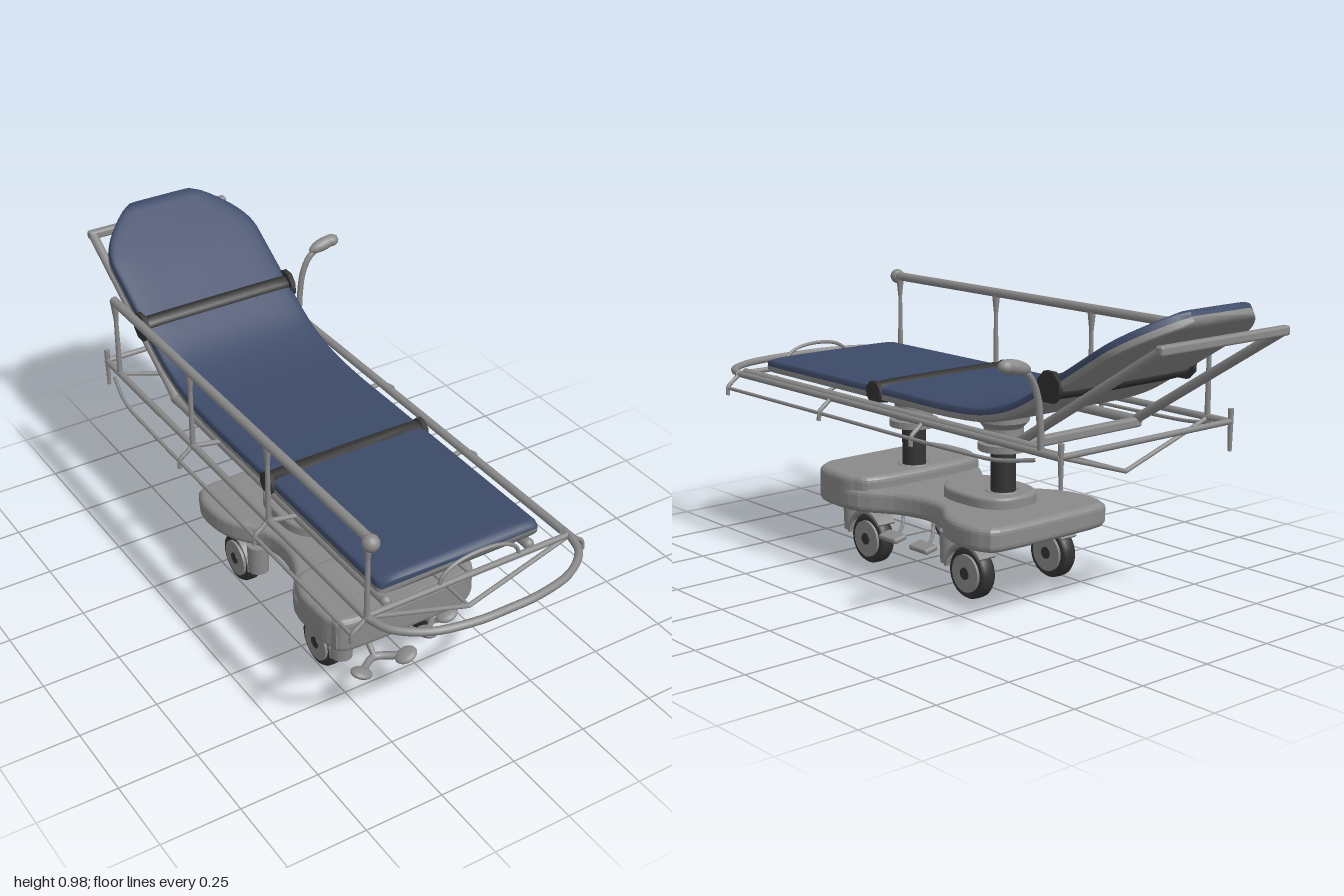
import * as THREE from 'three';
import { RoundedBoxGeometry } from 'three/addons/geometries/RoundedBoxGeometry.js';

const mat = (name, color) => {
  const m = new THREE.MeshStandardMaterial({ color });
  m.name = name;
  return m;
};
const V = (x, y, z) => new THREE.Vector3(x, y, z);
const CX = -0.05; // centre line of the stretcher

export function createModel() {
  const metal = mat('grey metal', 0x8a8a8a);
  const blue = mat('blue vinyl', 0x3d4a68);
  const black = mat('black rubber', 0x333333);
  const root = new THREE.Group();

  const add = (name, geo, m, x = 0, y = 0, z = 0, parent = root) => {
    const mesh = new THREE.Mesh(geo, m);
    mesh.name = name;
    mesh.position.set(x, y, z);
    parent.add(mesh);
    return mesh;
  };
  // straight rod between two points
  const rod = (name, a, b, r, r2 = r) => {
    const mesh = add(name, new THREE.CylinderGeometry(r2, r, a.distanceTo(b), 10), metal);
    mesh.position.copy(a).lerp(b, 0.5);
    mesh.quaternion.setFromUnitVectors(V(0, 1, 0), b.clone().sub(a).normalize());
    return mesh;
  };
  // bent tube through points
  const bend = (name, pts, r) =>
    add(name, new THREE.TubeGeometry(new THREE.CatmullRomCurve3(pts), 32, r, 8), metal);
  const blob = (name, x, y, z, sx, sy, sz) => {
    const mesh = add(name, new THREE.SphereGeometry(1, 16, 10), metal, x, y, z);
    mesh.scale.set(sx, sy, sz);
    return mesh;
  };

  // --- mattress and straps share one bent path ---
  const path = new THREE.CatmullRomCurve3([V(CX, 0.597, 0.77), V(CX, 0.597, 0.4), V(CX, 0.597, 0.05),
    V(CX, 0.598, -0.18), V(CX, 0.611, -0.32), V(CX, 0.65, -0.45), V(CX, 0.735, -0.6), V(CX, 0.845, -0.78), V(CX, 0.96, -0.97)]);
  const uAtZ = z => {
    let u = 0;
    while (u < 1 && path.getPointAt(u).z > z) u += 0.002;
    return Math.min(u, 1);
  };
  // the head end tapers to a blunt, angled tip
  const halfWidth = z => {
    const t = Math.min(1, Math.max(0, (-0.79 - z) / 0.18));
    return 0.267 - 0.147 * t ** 1.9;
  };
  // rounded slab along the path: group 0 is its upper half, group 1 its lower half
  const loft = (u0, u1, steps, half, grow) => {
    const N = 32, pos = [], halves = [[], []];
    const pw = v => Math.sign(v) * Math.abs(v) ** 0.3;
    for (let i = 0; i <= steps; i++) {
      const u = u0 + (u1 - u0) * i / steps;
      const p = path.getPointAt(u), t = path.getTangentAt(u);
      const end = i === 0 || i === steps;
      const w = halfWidth(p.z) + grow - (end ? 0.005 : 0), h = half * (end ? 0.75 : 1);
      for (let j = 0; j < N; j++) {
        const a = j / N * Math.PI * 2, n = h * pw(Math.sin(a)) + 0.001;
        pos.push(p.x + w * pw(Math.cos(a)), p.y - t.z * n, p.z + t.y * n);
      }
    }
    const last = steps * N;
    for (let j = 0; j < N; j++) {
      const idx = halves[j < N / 2 ? 0 : 1], k = (j + 1) % N;
      for (let i = 0; i < last; i += N) idx.push(i + j, i + j + N, i + k, i + k, i + j + N, i + k + N);
      if (j > 0 && k > 0) idx.push(0, j, k, last, last + k, last + j);
    }
    const g = new THREE.BufferGeometry();
    g.setAttribute('position', new THREE.Float32BufferAttribute(pos, 3));
    g.setIndex([...halves[0], ...halves[1]]);
    g.addGroup(0, halves[0].length, 0);
    g.addGroup(halves[0].length, halves[1].length, 1);
    g.computeVertexNormals();
    return g;
  };
  add('mattress', loft(0, 1, 90, 0.026, 0), [blue, metal]);
  for (const [z, r] of [[0.185, 0.036], [-0.595, 0.047]]) {
    const u = uAtZ(z), p = path.getPointAt(u);
    add('strap', loft(u - 0.0125, u + 0.0125, 4, 0.035, 0.008), black);
    for (const s of [-1, 1])
      add('strapBuckle', new THREE.CylinderGeometry(r, r, 0.016, 8).rotateZ(Math.PI / 2).rotateX(Math.PI / 8), black, CX + s * 0.267, p.y + 0.004, p.z);
  }

  // --- bed frame under the mattress, with the tilted back section ---
  for (const s of [-1, 1]) {
    const x = CX + s * 0.24;
    rod('bedSideTube', V(x, 0.545, 0.76), V(x, 0.545, -0.44), 0.016);
    rod('backSideTube', V(x, 0.55, -0.44), V(x, 0.888, -0.985), 0.015);
    for (const z of [0.76, -0.44]) blob('bedTubeEnd', x, 0.546, z, 0.017, 0.017, 0.017);
  }
  add('backEndBar', new RoundedBoxGeometry(0.51, 0.028, 0.028, 2, 0.008), metal, CX, 0.887, -0.984);
  add('hingeBar', new RoundedBoxGeometry(0.5, 0.03, 0.03, 2, 0.008), metal, CX, 0.54, -0.44);

  // --- outer frame ---
  for (const s of [-1, 1]) {
    const x = CX + s * 0.34, xo = CX + s * 0.385;
    rod('outerRail', V(x, 0.572, 0.82), V(x, 0.572, -0.72), 0.011);
    bend('bumperRod', [V(xo, 0.53, 0.82), V(xo, 0.53, 0.3), V(xo, 0.53, -0.35), V(xo - s * 0.005, 0.535, -0.52), V(xo - s * 0.03, 0.555, -0.64)], 0.006);
    for (const z of [0.82, 0.31, -0.14]) {
      bend('bumperHook', [V(x, 0.572, z), V(x + s * 0.022, 0.555, z), V(xo, 0.535, z), V(xo + s * 0.004, 0.507, z)], 0.007);
      if (z < 0.8) rod('railBracket', V(x, 0.57, z), V(CX + s * 0.23, 0.55, z), 0.008);
    }
    rod('headPost', V(x, 0.485, -0.72), V(x, 0.612, -0.72), 0.006, 0.009);
    // V braces meeting under the bed
    for (const z of [0.815, -0.63])
      rod('underBrace', V(x, 0.57, z), V(CX, 0.463, z), 0.007);
  }
  rod('underRod', V(CX, 0.463, 0.815), V(CX, 0.463, -0.63), 0.006);
  rod('footStrut', V(CX, 0.574, 0.815), V(CX, 0.574, 0.76), 0.006);
  for (const z of [0.815, -0.72]) rod('endCrossBar', V(CX - 0.34, 0.574, z), V(CX + 0.34, 0.574, z), 0.009);
  bend('footLoop', [V(-0.39, 0.572, 0.82), V(-0.365, 0.572, 0.89), V(-0.28, 0.572, 0.955), V(-0.15, 0.572, 0.985),
    V(CX, 0.572, 0.988), V(0.05, 0.572, 0.985), V(0.18, 0.572, 0.955), V(0.265, 0.572, 0.89), V(0.29, 0.572, 0.82)], 0.012);
  bend('footArch', [V(-0.155, 0.572, 0.815), V(-0.145, 0.602, 0.815), V(-0.105, 0.63, 0.815), V(-0.02, 0.642, 0.815),
    V(0.065, 0.63, 0.815), V(0.105, 0.602, 0.815), V(0.115, 0.572, 0.815)], 0.006);

  // --- raised side rail, folded rail and push handle ---
  rod('sideRailTop', V(-0.39, 0.835, 0.84), V(-0.39, 0.835, -0.635), 0.015);
  blob('sideRailKnob', -0.395, 0.833, 0.84, 0.025, 0.025, 0.025);
  for (const z of [0.82, 0.31, -0.14, -0.63]) {
    rod('sideRailPost', V(-0.39, 0.572, z), V(-0.39, 0.77, z), 0.009, 0.007);
    rod('sideRailPostCollar', V(-0.39, 0.765, z), V(-0.39, 0.83, z), 0.007, 0.014);
  }
  rod('foldedSideRail', V(0.28, 0.58, 0.8), V(0.28, 0.58, -0.63), 0.013);
  bend('pushHandle', [V(0.288, 0.57, -0.64), V(0.293, 0.66, -0.64), V(0.305, 0.735, -0.64), V(0.33, 0.785, -0.64), V(0.37, 0.815, -0.64)], 0.01);
  blob('pushHandleGrip', 0.385, 0.819, -0.64, 0.056, 0.021, 0.022).rotation.z = 0.25;
  blob('pushHandleTip', 0.415, 0.824, -0.64, 0.026, 0.02, 0.022);

  // --- lifting columns ---
  const cup = [[0.04, 0.434], [0.079, 0.434], [0.079, 0.456], [0.062, 0.458], [0.062, 0.505], [0.08, 0.525], [0.08, 0.575], [0, 0.575]]
    .map(p => new THREE.Vector2(...p));
  for (const z of [0.325, -0.11]) {
    add('columnShaft', new THREE.CylinderGeometry(0.039, 0.039, 0.2, 24), black, CX, 0.35, z);
    add('columnHead', new THREE.LatheGeometry(cup, 28).toNonIndexed(), metal, CX, 0, z).geometry.computeVertexNormals();
  }

  // --- wheeled base: waisted body with a taller front block ---
  const slab = (half, y0, y1, bevel) => {
    const right = half.map(([x, z]) => new THREE.Vector2(x - bevel, -z));
    const left = half.map(([x, z]) => new THREE.Vector2(bevel - x, -z)).reverse();
    const shape = new THREE.Shape();
    const curve = new THREE.SplineCurve([...right, ...left, right[0]]);
    shape.setFromPoints(curve.getPoints(72).slice(0, -1));
    const g = new THREE.ExtrudeGeometry(shape, { depth: y1 - y0 - 2 * bevel, bevelThickness: bevel, bevelSize: bevel, bevelSegments: 4 });
    return g.rotateX(-Math.PI / 2).translate(CX, y0 + bevel, 0);
  };
  add('baseBody', slab([[0.2, 0.525], [0.253, 0.49], [0.265, 0.42], [0.258, 0.31], [0.19, 0.2], [0.16, 0.09], [0.175, -0.02],
    [0.24, -0.12], [0.262, -0.21], [0.25, -0.285], [0.19, -0.315]], 0.19, 0.267, 0.02), metal);
  add('baseFrontBlock', slab([[0.2, 0.525], [0.253, 0.49], [0.265, 0.42], [0.258, 0.33], [0.19, 0.275]], 0.19, 0.307, 0.02), metal);
  add('baseRearPad', slab([[0.06, 0.09], [0.105, 0.04], [0.115, -0.05], [0.105, -0.13], [0.06, -0.18]], 0.25, 0.303, 0.012), metal);
  for (const [z, y] of [[0.325, 0.305], [-0.11, 0.301]])
    add('columnCollar', new THREE.TorusGeometry(0.05, 0.006, 8, 28).rotateX(Math.PI / 2), metal, CX, y, z);

  // --- castors ---
  const caster = (x, z) => {
    const g = new THREE.Group();
    g.name = 'caster';
    g.position.set(x, 0.083, z);
    root.add(g);
    const tyre = [[0.058, -0.022], [0.074, -0.026], [0.081, -0.016], [0.082, 0], [0.081, 0.016], [0.074, 0.026], [0.058, 0.022]]
      .map(p => new THREE.Vector2(...p));
    add('tyre', new THREE.LatheGeometry(tyre, 32).rotateZ(Math.PI / 2), black, 0, 0, 0, g);
    const disc = (name, r, w, m) => add(name, new THREE.CylinderGeometry(r, r, w, 24).rotateZ(Math.PI / 2), m, 0, 0, 0, g);
    disc('wheelHub', 0.059, 0.062, metal);
    disc('axleCap', 0.019, 0.067, black);
    add('swivelPost', new THREE.CylinderGeometry(0.036, 0.033, 0.1, 20), metal, 0, 0.06, 0.1, g);
    // curved fender wrapping the wheel from the post over the top
    const f = new THREE.Shape();
    f.absarc(0, 0, 0.094, 0.05, 2.45, false);
    f.absarc(0, 0, 0.084, 2.45, 0.05, true);
    const fender = new THREE.ExtrudeGeometry(f, { depth: 0.066, bevelEnabled: false, curveSegments: 20 });
    add('fender', fender.rotateY(-Math.PI / 2).translate(0.033, 0, 0), metal, 0, 0, 0, g);
  };
  for (const x of [-0.225, 0.11]) for (const z of [0.34, -0.15]) caster(x, z);

  // --- foot pedals ---
  bend('frontPedalBar', [V(-0.27, 0.155, 0.6), V(-0.235, 0.14, 0.575), V(-0.175, 0.135, 0.54), V(-0.12, 0.138, 0.57), V(-0.085, 0.155, 0.6)], 0.012);
  rod('frontPedalStem', V(-0.175, 0.138, 0.54), V(-0.18, 0.2, 0.48), 0.009);
  bend('frontPedalBar', [V(-0.01, 0.17, 0.56), V(0.03, 0.158, 0.53), V(0.065, 0.152, 0.5), V(0.11, 0.165, 0.52)], 0.009);
  rod('frontPedalStem', V(0.06, 0.153, 0.5), V(0.055, 0.2, 0.47), 0.008);
  for (const [x, y, z, a] of [[-0.255, 0.15, 0.595, -0.35], [-0.1, 0.148, 0.595, 0.35], [-0.002, 0.168, 0.56, -0.3], [0.098, 0.163, 0.52, 0.3]])
    blob('frontPedalPad', x, y, z, 0.036, 0.014, 0.03).rotation.z = a;
  for (const z of [0.13, -0.02]) {
    bend('sidePedalArm', [V(0.08, 0.2, z + 0.09), V(0.09, 0.16, z + 0.08), V(0.13, 0.15, z + 0.04), V(0.18, 0.148, z)], 0.006);
    add('sidePedalPad', new RoundedBoxGeometry(0.05, 0.018, 0.085, 2, 0.007), metal, 0.195, 0.147, z).rotation.z = -0.2;
  }
  return root;
}
